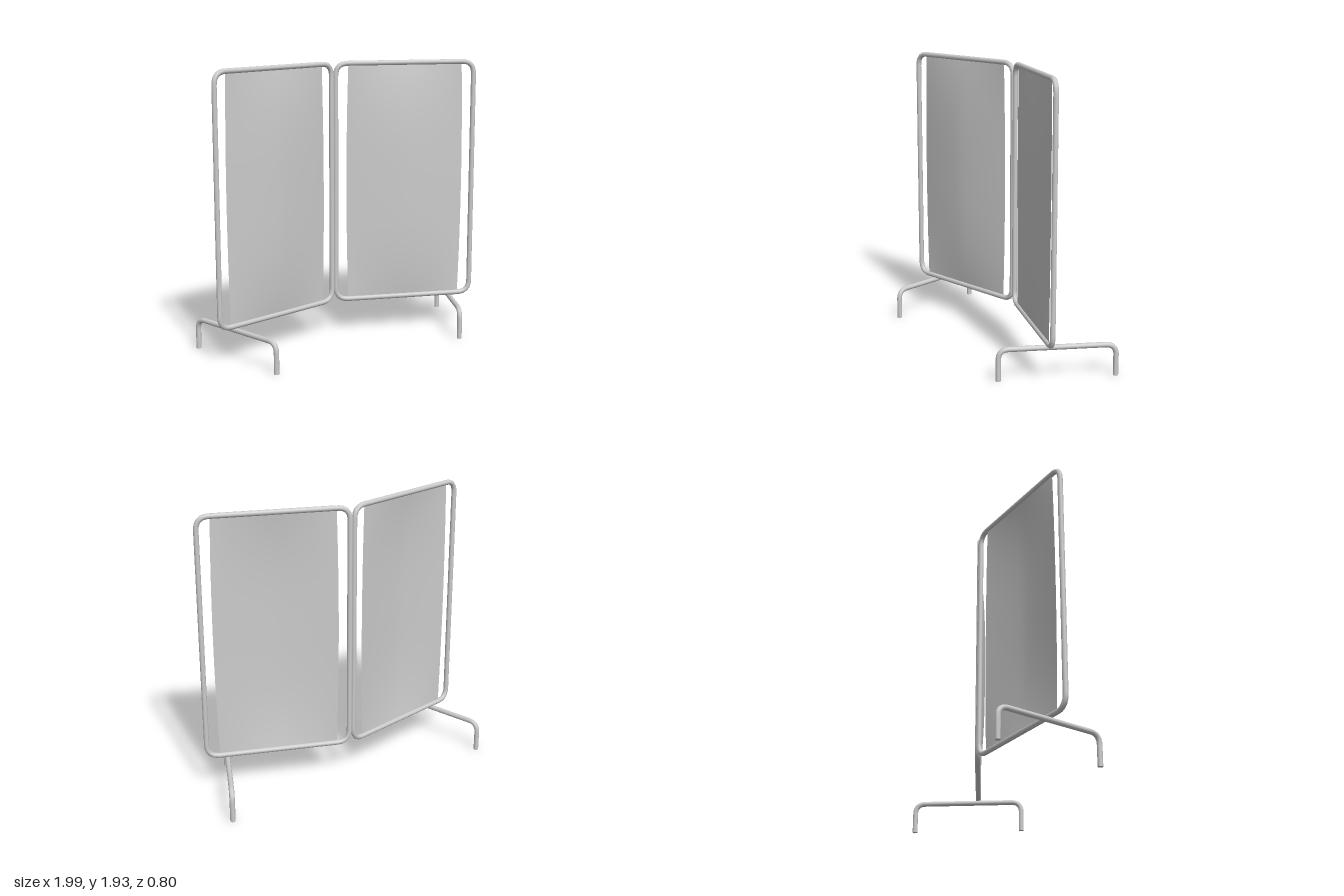
import * as THREE from 'three';

const RADIUS = 0.0175;
const metal = new THREE.MeshStandardMaterial({ color: 0xcccccc });
const fabric = new THREE.MeshStandardMaterial({ color: 0xcccccc, side: THREE.DoubleSide });

// Path through [x, y] corners, each inner corner rounded by r
function roundedPath(corners, r, closed) {
  const p = corners.map(([x, y]) => new THREE.Vector3(x, y, 0));
  const n = p.length;
  const path = new THREE.CurvePath();
  const toward = (a, b) => a.clone().add(b.clone().sub(a).setLength(r));
  let last = closed ? toward(p[0], p[1]) : p[0];
  for (let i = 1; i < (closed ? n + 1 : n - 1); i++) {
    const corner = p[i % n];
    const start = toward(corner, p[(i - 1) % n]);
    const end = toward(corner, p[(i + 1) % n]);
    path.add(new THREE.LineCurve3(last, start));
    path.add(new THREE.QuadraticBezierCurve3(start, corner, end));
    last = end;
  }
  if (!closed) path.add(new THREE.LineCurve3(last, p[n - 1]));
  return path;
}

function tube(name, corners, r, closed, segments) {
  const geo = new THREE.TubeGeometry(roundedPath(corners, r, closed), segments, RADIUS, 10, closed);
  const mesh = new THREE.Mesh(geo, metal);
  mesh.name = name;
  return mesh;
}

// Fabric sheet, billowing forward and bowed slightly at its side edges
function makeFabric() {
  const halfW = 0.405, bottom = 0.247, height = 1.671;
  const geo = new THREE.PlaneGeometry(2, 2, 24, 32);
  const pos = geo.attributes.position;
  for (let i = 0; i < pos.count; i++) {
    const u = pos.getX(i), v = pos.getY(i);
    const bulgeU = 1 - Math.abs(u) ** 1.5;
    const bulgeV = 1 - Math.abs(v) ** 3;
    const bow = 0.014 * (1 - v * v);
    pos.setXYZ(i, u * (halfW + bow), bottom + height * (v + 1) / 2, 0.042 * bulgeU * bulgeV);
  }
  geo.computeVertexNormals();
  const mesh = new THREE.Mesh(geo, fabric);
  mesh.name = 'fabricSheet';
  return mesh;
}

function makePanel(name, x, z, yaw) {
  const panel = new THREE.Group();
  panel.name = name;
  const w = 0.494, y0 = 0.247, y1 = 1.918;
  panel.add(tube('panelFrame', [[-w, y0], [w, y0], [w, y1], [-w, y1]], 0.085, true, 200));
  panel.add(makeFabric());
  panel.position.set(x, 0, z);
  panel.rotation.y = yaw;
  return panel;
}

function makeFoot(name, x, z, yaw) {
  const foot = new THREE.Group();
  foot.name = name;
  const h = 0.381, top = 0.209;
  foot.add(tube('footTube', [[-h, 0], [-h, top], [h, top], [h, 0]], 0.07, false, 60));
  // Closed tube ends on the floor
  for (const s of [-1, 1]) {
    const cap = new THREE.Mesh(new THREE.CircleGeometry(RADIUS, 10), metal);
    cap.name = 'footCap';
    cap.rotation.x = Math.PI / 2;
    cap.position.x = s * h;
    foot.add(cap);
  }
  foot.position.set(x, 0, z);
  foot.rotation.y = yaw;
  return foot;
}

export function createModel() {
  const model = new THREE.Group();
  model.name = 'foldingScreen';
  // Two panels meeting at the back in a shallow V
  model.add(makePanel('rightPanel', -0.503, -0.057, 0.273));
  model.add(makePanel('leftPanel', 0.481, -0.059, -0.269));
  // Crosswise feet under the outer ends
  model.add(makeFoot('rightFoot', -0.848, 0.023, Math.atan2(-0.714, 0.264)));
  model.add(makeFoot('leftFoot', 0.848, -0.032, Math.atan2(-0.716, -0.264)));
  return model;
}
